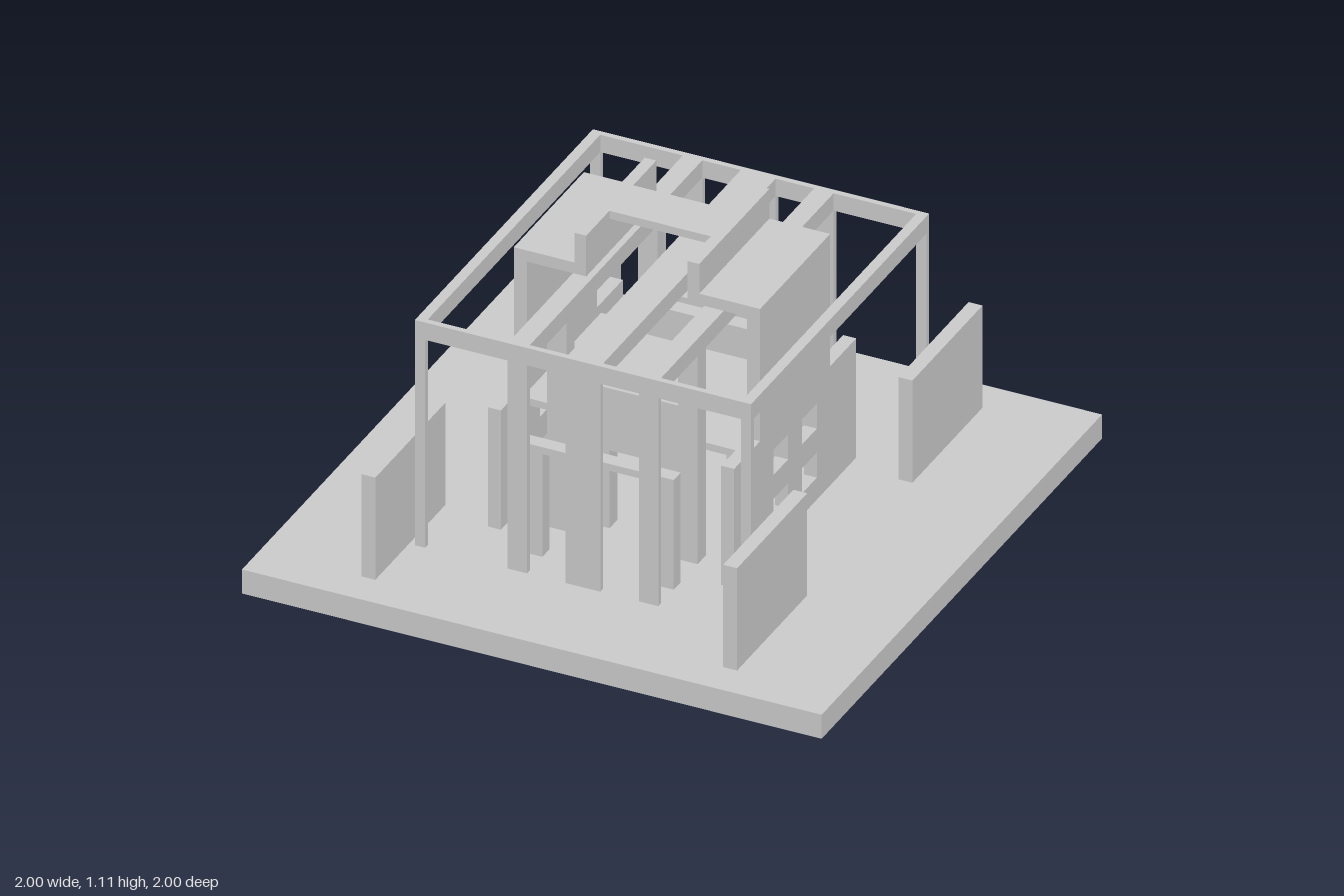
import * as THREE from 'three';

const material = new THREE.MeshStandardMaterial({ color: 0xcccccc, flatShading: true });

export function createModel() {
  const model = new THREE.Group();
  const signs = [-1, 1];

  // Box from its lower and upper limits on each axis
  function box(name, x0, x1, y0, y1, z0, z1) {
    const mesh = new THREE.Mesh(new THREE.BoxGeometry(x1 - x0, y1 - y0, z1 - z0), material);
    mesh.position.set((x0 + x1) / 2, (y0 + y1) / 2, (z0 + z1) / 2);
    mesh.name = name;
    model.add(mesh);
  }
  // Same box, mirrored by sx in x and sz in z
  function mirrored(name, sx, sz, x0, x1, y0, y1, z0, z1) {
    const [a, b] = sx < 0 ? [-x1, -x0] : [x0, x1];
    const [c, d] = sz < 0 ? [-z1, -z0] : [z0, z1];
    box(name, a, b, y0, y1, c, d);
  }

  const ground = 0.087, beamBottom = 0.842, beamTop = 0.905;
  box('basePlate', -1, 1, 0, ground, -1, 1);

  // Stepped side wall with four window openings, drawn in the z-y plane
  const wall = new THREE.Shape();
  [[-0.435, ground], [0.435, ground], [0.435, 0.52], [0.25, 0.52], [0.25, 1],
    [-0.25, 1], [-0.25, 0.52], [-0.435, 0.52]]
    .forEach(([z, y], i) => (i ? wall.lineTo(z, y) : wall.moveTo(z, y)));
  wall.closePath();
  for (const z of [-0.155, 0.05]) {
    for (const y of [0.167, 0.345]) {
      const hole = new THREE.Path();
      hole.moveTo(z, y);
      hole.lineTo(z, y + 0.091);
      hole.lineTo(z + 0.105, y + 0.091);
      hole.lineTo(z + 0.105, y);
      hole.closePath();
      wall.holes.push(hole);
    }
  }
  const wallGeometry = new THREE.ExtrudeGeometry(wall, { depth: 0.045, bevelEnabled: false });
  wallGeometry.rotateY(-Math.PI / 2);
  for (const x of [-0.38, 0.425]) {
    const mesh = new THREE.Mesh(wallGeometry, material);
    mesh.position.x = x;
    mesh.name = 'sideWall';
    model.add(mesh);
  }

  // Stepped roof: a ledge and riser on each side, joined by a narrow bridge
  for (const sx of signs) {
    mirrored('roofLedge', sx, 1, 0.175, 0.38, 0.96, 1, -0.25, 0.25);
    mirrored('roofRiser', sx, 1, 0.175, 0.215, 1, 1.108, -0.25, 0.25);
  }
  box('roofBridge', -0.175, 0.175, 1.08, 1.108, -0.085, 0.085);

  // Upper floor between the side walls
  box('upperFloor', -0.38, 0.38, 0.46, 0.485, -0.28, 0.28);

  // Pergola beams running front to back
  for (const [x0, x1] of [[-0.58, -0.545], [-0.26, -0.193], [-0.06, 0.06], [0.193, 0.26], [0.545, 0.58]]) {
    box('pergolaBeam', x0, x1, beamBottom, beamTop, -0.615, 0.615);
  }

  for (const sz of signs) {
    // Pergola end beam and its row of posts
    mirrored('pergolaEndBeam', 1, sz, -0.58, 0.58, beamBottom, beamTop, 0.615, 0.635);
    mirrored('centrePost', 1, sz, -0.06, 0.06, ground, beamBottom, 0.615, 0.635);

    // Low entrance frame and balcony parapet
    mirrored('entranceLintel', 1, sz, -0.26, 0.26, 0.46, 0.485, 0.475, 0.525);
    mirrored('parapet', 1, sz, -0.193, 0.193, 0.37, 0.595, 0.225, 0.28);

    for (const sx of signs) {
      mirrored('cornerPost', sx, sz, 0.545, 0.58, ground, beamBottom, 0.615, 0.635);
      mirrored('frontPost', sx, sz, 0.193, 0.26, ground, beamBottom, 0.615, 0.635);
      mirrored('entrancePost', sx, sz, 0.193, 0.26, ground, 0.46, 0.475, 0.525);
      mirrored('innerColumn', sx, sz, 0.193, 0.26, ground, beamBottom, 0.295, 0.355);
      mirrored('parapetPier', sx, sz, 0.08, 0.165, ground, 0.37, 0.225, 0.28);
      mirrored('gardenWall', sx, sz, 0.6, 0.648, ground, 0.458, 0.375, 0.875);
    }
  }
  return model;
}
